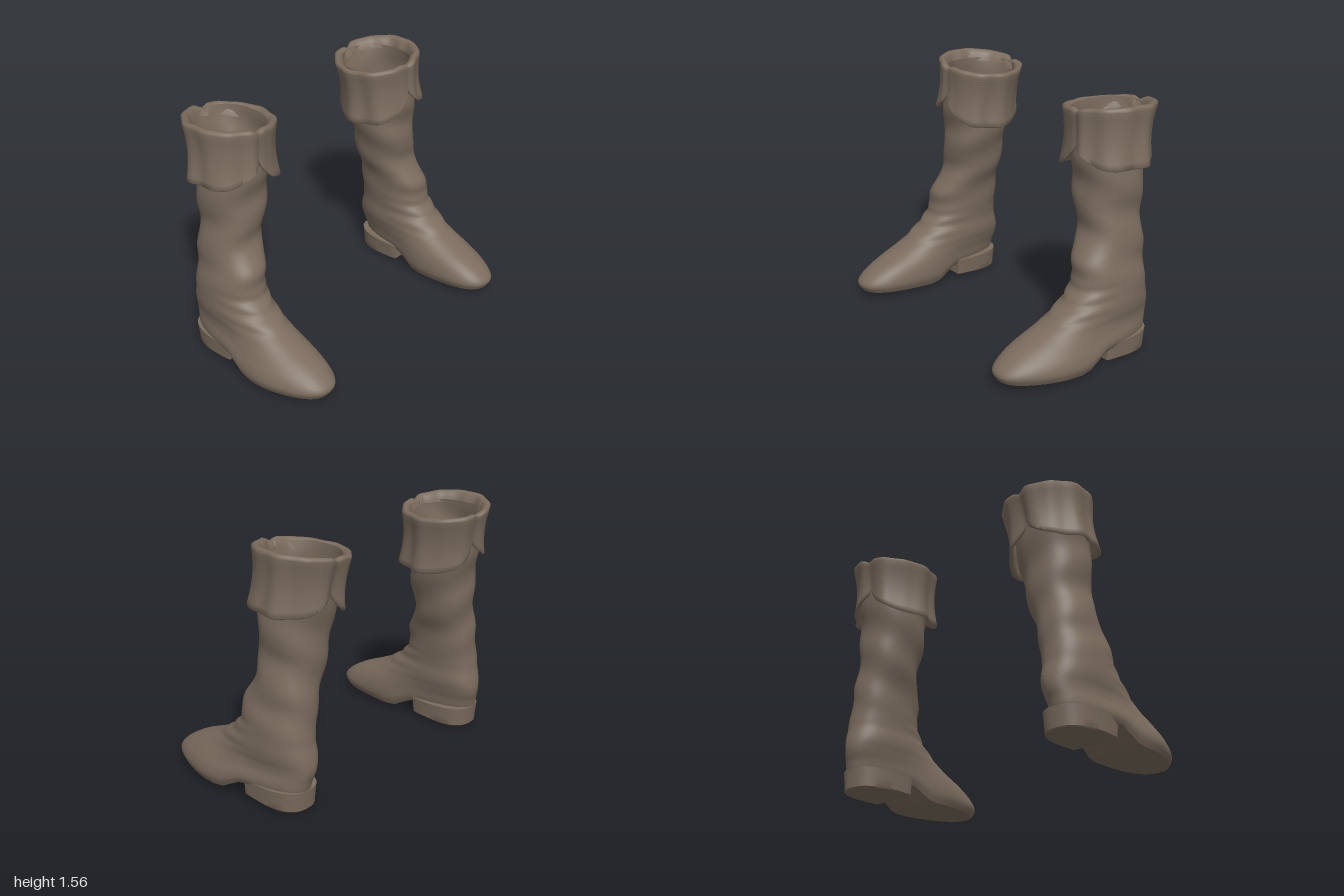
import * as THREE from 'three';
import { toCreasedNormals } from 'three/addons/utils/BufferGeometryUtils.js';

const SEG = 64;
const leather = new THREE.MeshStandardMaterial({ color: 0x7a6b5d });
const { smoothstep, lerp } = THREE.MathUtils;

// Horizontal slices of the boot: heights, then [back z, front z, inner x, outer x]
const heights = [0, 0.05, 0.12, 0.19, 0.26, 0.32, 0.36, 0.4, 0.46, 0.54, 0.62, 0.7, 0.8, 0.9, 1, 1.1, 1.2, 1.35, 1.5];
const slices = [
  [-0.47, 0.585, 0.605, 0.98], [-0.48, 0.605, 0.585, 1.0], [-0.49, 0.55, 0.58, 0.995], [-0.505, 0.45, 0.585, 0.97],
  [-0.51, 0.31, 0.595, 0.95], [-0.505, 0.2, 0.6, 0.945], [-0.495, 0.14, 0.605, 0.943], [-0.485, 0.09, 0.61, 0.94],
  [-0.48, 0.035, 0.607, 0.935], [-0.475, 0.01, 0.6, 0.925], [-0.47, 0, 0.585, 0.91], [-0.47, -0.045, 0.57, 0.9],
  [-0.47, -0.085, 0.54, 0.88], [-0.475, -0.085, 0.515, 0.865], [-0.48, -0.08, 0.49, 0.87], [-0.49, -0.085, 0.47, 0.87],
  [-0.505, -0.075, 0.455, 0.87], [-0.53, -0.07, 0.43, 0.875], [-0.56, -0.065, 0.41, 0.87],
];
const sliceAt = new THREE.CubicInterpolant(heights, slices.flat(), 4);

// Underside of the sole: low at the ball, raised at the toe and the arch
const soleY = (z) => (z > 0.1 ? lerp(0.02, 0.045, (z - 0.1) / 0.5) : lerp(0.02, 0.1, smoothstep(-z, -0.1, 0.1)));

const power = (v, p) => Math.sign(v) * Math.abs(v) ** p;

// Ring of points round the boot at height y, inset by a margin and scaled about its middle
function bootRing(y, inset = 0, scale = 1) {
  const [back, front, inner, outer] = sliceAt.evaluate(y);
  const ring = [];
  for (let j = 0; j < SEG; j++) {
    const a = (j / SEG) * Math.PI * 2;
    const facing = Math.max(0, Math.cos(a));
    const fold = 0.007 * Math.sin(y * 75 + Math.cos(a * 2)) * facing * smoothstep(y, 0.26, 0.34) * (1 - smoothstep(y, 0.44, 0.55));
    const sag = 0.006 * Math.sin(y * 22 + 2 * a) * smoothstep(y, 0.4, 0.6);
    const grow = fold + sag - inset;
    let z = (back + front) / 2 + power(Math.cos(a), 0.87) * ((front - back) / 2 + grow) * scale;
    const waist = 1 - 0.2 * smoothstep(-z, -0.25, 0.2) * (1 - smoothstep(y, 0.12, 0.38));
    let x = (inner + outer) / 2 + power(Math.sin(a), 0.87) * ((outer - inner) / 2 + grow) * waist * scale;
    x -= 0.025 * smoothstep(z, 0.2, 0.6);
    const lift = soleY(z) * Math.max(0, 1 - y / 0.3);
    ring.push([x, y + lift, z]);
  }
  return ring;
}

// Skin a list of closed rings; side = -1 mirrors the part across x
function skin(name, rings, side, crease = 0.9) {
  const n = rings[0].length;
  const index = [];
  for (let i = 0; i < rings.length - 1; i++) {
    for (let j = 0; j < n; j++) {
      const k = (j + 1) % n;
      const a = i * n + j, b = i * n + k, c = a + n, d = b + n;
      if (side > 0) index.push(a, b, d, a, d, c);
      else index.push(a, d, b, a, c, d);
    }
  }
  const geometry = new THREE.BufferGeometry();
  const points = rings.flat().flatMap(([x, y, z]) => [x * side, y, z]);
  geometry.setAttribute('position', new THREE.Float32BufferAttribute(points, 3));
  geometry.setIndex(index);
  const mesh = new THREE.Mesh(toCreasedNormals(geometry, crease), leather);
  mesh.name = name;
  return mesh;
}

const middle = (ring) => {
  const sum = ring.reduce((s, p) => s.map((v, i) => v + p[i]), [0, 0, 0]);
  return ring.map(() => sum.map((v) => v / ring.length));
};

// Outer foot and leg, closed underneath by the sole
function upper(side) {
  const rings = [0.001, 0.25, 0.5, 0.75, 0.95].map((s) => bootRing(0, 0, s));
  for (let i = 0; i <= 90; i++) rings.push(bootRing((i / 90) * 1.48));
  return skin('upper', rings, side);
}

// Inside of the leg down to the insole
function lining(side) {
  const rings = [];
  for (let i = 0; i <= 60; i++) rings.push(bootRing(lerp(1.5, 0.06, i / 60), 0.028));
  for (const s of [0.7, 0.4, 0.001]) rings.push(bootRing(0.06, 0.028, s));
  return skin('lining', rings, side);
}

// Heel block, rounded behind and straight in front
function heel(side) {
  const ring = (y, scale, spread) => {
    const r = [];
    for (let j = 0; j < SEG; j++) {
      const a = (j / SEG) * Math.PI * 2;
      const z = Math.min(-0.1, -0.21 + power(Math.cos(a), 0.8) * (0.262 + spread));
      const x = 0.78 + power(Math.sin(a), 0.8) * (0.155 + spread);
      r.push([lerp(0.78, x, scale), y + 0.018 * smoothstep(z, -0.47, -0.1) * (1 - y / 0.13), lerp(-0.28, z, scale)]);
    }
    return r;
  };
  const rings = [ring(0, 0.001, 0), ring(0, 0.96, 0), ring(0.008, 1, 0), ring(0.06, 1, 0.004), ring(0.13, 1, 0.01), ring(0.13, 0.001, 0)];
  return skin('heel', rings, side, 0.6);
}

// Turned-down cuff flap covering half the leg: a folded band with rounded lower corners
function cuffFlap(name, direction, side) {
  // Cross-section: [offset from the outer surface, share of the drop]
  const section = [[-0.055, 0.2], [-0.05, 0.06], [-0.035, 0.005], [-0.018, 0], [-0.004, 0.025], [0, 0.07]];
  for (let i = 1; i <= 10; i++) section.push([0, 0.07 + i * 0.091]);
  section.push([-0.009, 1], [-0.02, 0.97]);
  for (let i = 8; i >= 2; i--) section.push([-0.024, i * 0.11]);
  const rings = [];
  const steps = 72;
  for (let i = 0; i <= steps; i++) {
    const u = Math.sin((i / steps - 0.5) * Math.PI);
    const a = direction * Math.PI / 2 + u * 1.6 + 0.03;
    const drop = 0.05 + 0.315 * Math.max(0, 1 - Math.abs(u) ** 3) ** (1 / 3);
    const edge = smoothstep(Math.abs(u), 0.85, 1);
    const top = 1.523 + 0.033 * Math.sin(a) + 0.006 * Math.cos(a) - 0.02 * edge;
    rings.push(section.map(([offset, t]) => {
      const v = (t * drop) / 0.365;
      const wobble = (0.003 + 0.008 * v) * Math.sin(7 * a + 1) + 0.004 * Math.sin(11 * a);
      const r = 0.28 - 0.022 * Math.sin(Math.min(1, v) * Math.PI) - 0.006 * v - 0.014 * edge + wobble + offset;
      return [0.64 + 0.02 * v + Math.sin(a) * r, top - t * drop, -0.315 + 0.035 * v + Math.cos(a) * r];
    }));
  }
  rings.unshift(middle(rings[0]));
  rings.push(middle(rings[rings.length - 1]));
  return skin(name, rings, side, 1.1);
}

export function createModel() {
  const model = new THREE.Group();
  model.name = 'boots';
  for (const side of [1, -1]) {
    const boot = new THREE.Group();
    boot.name = side > 0 ? 'leftBoot' : 'rightBoot';
    boot.add(
      upper(side),
      lining(side),
      heel(side),
      cuffFlap('outerCuffFlap', 1, side),
      cuffFlap('innerCuffFlap', -1, side),
    );
    model.add(boot);
  }
  return model;
}
